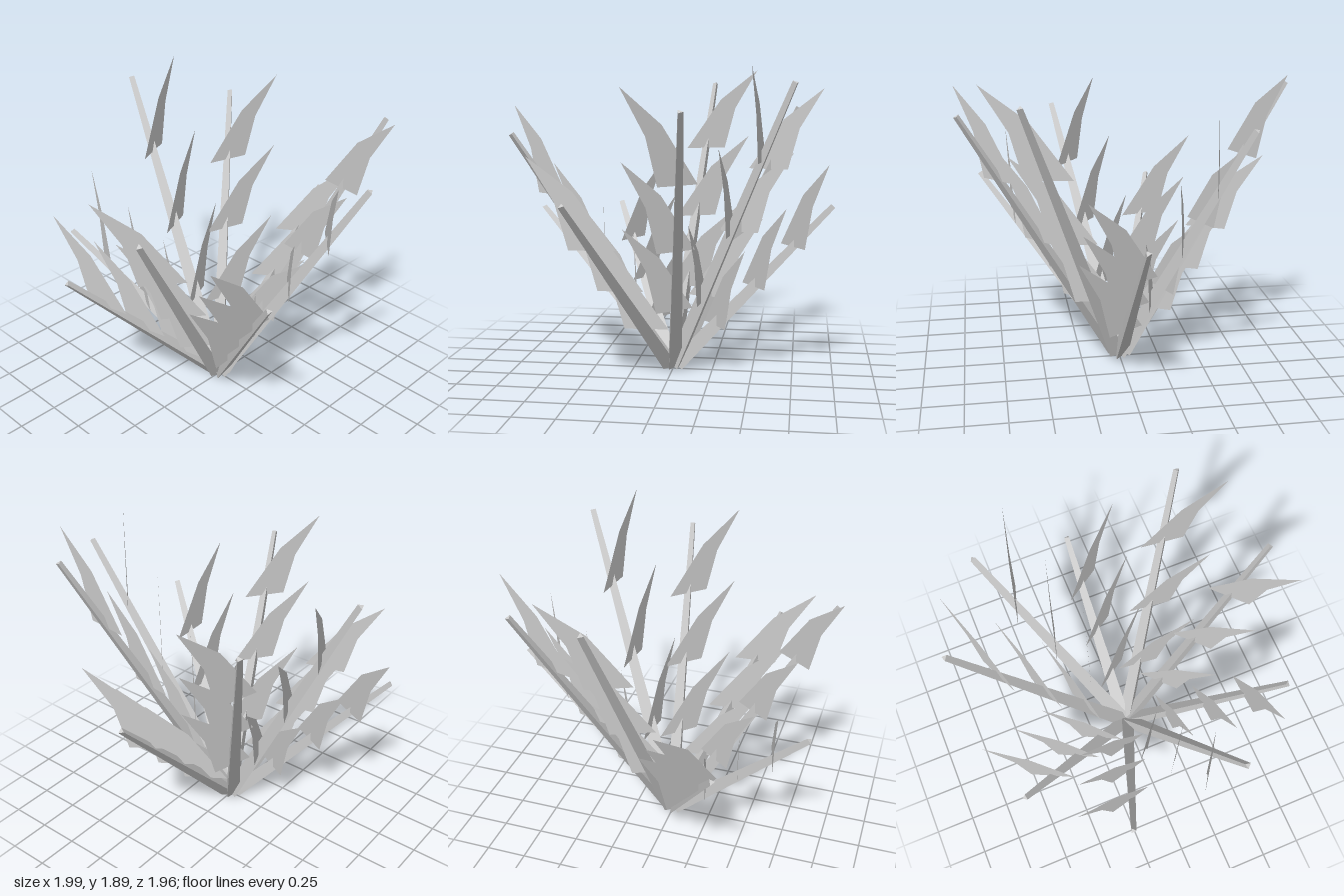
import * as THREE from 'three';

// Spiky plant: nine three-sided stems fanning out, each with three flat upright leaves
const STEM_HEIGHTS = [1.06, 1.8, 1.65, 1.14, 1.5, 0.98, 0.96, 1.8, 1.64];
const LEAF_STEPS = [0.25, 0.5, 0.75];
const LEAF_TURN = THREE.MathUtils.degToRad(56.5);

export function createModel() {
  const plant = new THREE.Group();
  plant.name = 'plant';

  const stemMaterial = new THREE.MeshStandardMaterial({ color: 0xcccccc, flatShading: true });
  const leafMaterial = new THREE.MeshStandardMaterial({ color: 0xcccccc, side: THREE.DoubleSide });

  // Leaf blade: broad at the foot, sweeping sideways to a sharp tip
  const leafGeometry = new THREE.ShapeGeometry(new THREE.Shape([
    new THREE.Vector2(-0.135, 0),
    new THREE.Vector2(0.135, 0),
    new THREE.Vector2(0.21, 0.27),
    new THREE.Vector2(0.37, 0.53),
    new THREE.Vector2(0.105, 0.33),
  ]));

  STEM_HEIGHTS.forEach((height, i) => {
    const branch = new THREE.Group();
    branch.name = `branch${i + 1}`;
    branch.rotation.y = -i * Math.PI * 2 / STEM_HEIGHTS.length;
    plant.add(branch);

    // Tapered stem leaning outwards along the branch's own x axis
    const foot = new THREE.Vector3(0.025, 0.035, 0);
    const tip = new THREE.Vector3(0.98, height, 0);
    const lean = tip.clone().sub(foot);
    const stem = new THREE.Mesh(
      new THREE.CylinderGeometry(0.02, 0.056, lean.length(), 3, 1, false, Math.PI),
      stemMaterial
    );
    stem.name = 'stem';
    stem.position.lerpVectors(foot, tip, 0.5);
    stem.rotation.z = -Math.atan2(lean.x, lean.y);
    branch.add(stem);

    // Leaves stand upright on the stem, all turned the same way
    for (const t of LEAF_STEPS) {
      const leaf = new THREE.Mesh(leafGeometry, leafMaterial);
      leaf.name = 'leaf';
      leaf.position.lerpVectors(foot, tip, t);
      leaf.rotation.y = -LEAF_TURN;
      branch.add(leaf);
    }
  });

  return plant;
}
